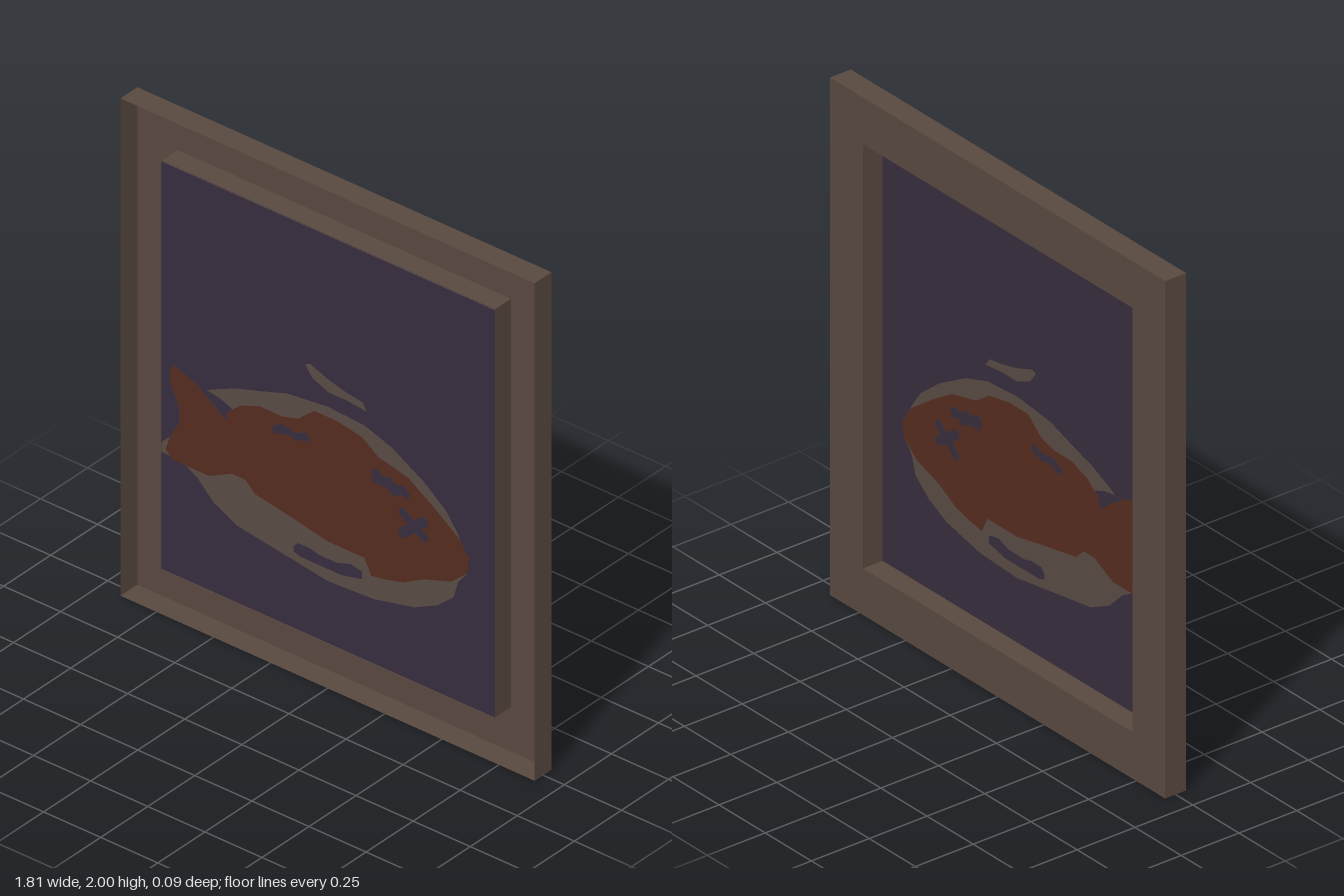
import * as THREE from 'three';

const DEPTH = 0.09, OUTER_W = 1.814, OUTER_H = 2, INNER_W = 1.458, INNER_H = 1.64;

const material = (name, color) => {
  const m = new THREE.MeshStandardMaterial({ color, side: THREE.DoubleSide });
  m.name = name;
  return m;
};

const polygon = (points) => new THREE.Shape(points.map(([x, y]) => new THREE.Vector2(x, y)));

// Rectangle centred on the picture's middle height
const rectangle = (w, h) => polygon([
  [-w / 2, 1 - h / 2], [w / 2, 1 - h / 2], [w / 2, 1 + h / 2], [-w / 2, 1 + h / 2],
]);

// Four walls of a box, open at front and back
function sleeve(w, h) {
  const geo = new THREE.BoxGeometry(w, h, DEPTH);
  geo.setIndex(Array.from(geo.index.array).slice(0, 24));
  geo.clearGroups();
  return geo.translate(0, 1, 0);
}

// Rounded brush stroke between two points
function stroke([x1, y1], [x2, y2], r) {
  const a = Math.atan2(y2 - y1, x2 - x1);
  const s = new THREE.Shape();
  s.absarc(x2, y2, r, a - Math.PI / 2, a + Math.PI / 2);
  s.absarc(x1, y1, r, a + Math.PI / 2, a + Math.PI * 1.5);
  s.closePath();
  return s;
}

export function createModel() {
  const group = new THREE.Group();
  const wood = material('frame brown', 0x58483f);
  const dark = material('dark violet', 0x372d3e);
  const pale = material('outline taupe', 0x584a43);
  const rust = material('fish rust', 0x552c20);

  const add = (name, geo, mat) => {
    const mesh = new THREE.Mesh(geo, mat);
    mesh.name = name;
    group.add(mesh);
  };

  // Frame: flat ring at the back, outer and inner walls, open channel in front
  const ring = rectangle(OUTER_W, OUTER_H);
  ring.holes.push(rectangle(INNER_W, INNER_H));
  add('frameBack', new THREE.ShapeGeometry(ring).translate(0, 0, -DEPTH / 2), wood);
  add('frameOuterWalls', sleeve(OUTER_W, OUTER_H), wood);
  add('frameInnerWalls', sleeve(INNER_W, INNER_H), wood);

  // Painted layers pass through the panel, so they show on both sides
  const layer = (name, shapes, level, mat) => {
    const depth = 0.002 * level;
    const geo = new THREE.ExtrudeGeometry(shapes, { depth, bevelEnabled: false, curveSegments: 6 });
    add(name, geo.translate(0, 0, DEPTH / 2 - 0.004 - depth / 2), mat);
  };

  layer('panel', rectangle(INNER_W, INNER_H), 1, dark);

  // Pale halo around the fish, and the loose stroke above it
  layer('halo', [
    polygon([
      [-0.53, 0.98], [-0.49, 1.0], [-0.4, 1.04], [-0.3, 1.07], [-0.18, 1.11], [0, 1.13], [0.16, 1.12],
      [0.28, 1.08], [0.42, 1.0], [0.52, 0.92], [0.57, 0.85], [0.6, 0.78], [0.61, 0.71], [0.57, 0.66],
      [0.55, 0.59], [0.48, 0.53], [0.38, 0.48], [0.2, 0.44], [0, 0.43], [-0.2, 0.46],
      [-0.4, 0.49], [-0.5, 0.54], [-0.57, 0.61], [-0.64, 0.65], [-0.728, 0.65], [-0.728, 0.69],
      [-0.7, 0.72], [-0.6, 0.74], [-0.4, 0.88], [-0.42, 0.95], [-0.47, 0.97],
    ]),
    polygon([
      [-0.1, 1.26], [-0.08, 1.27], [0, 1.24], [0.08, 1.22], [0.15, 1.21], [0.17, 1.18],
      [0.09, 1.19], [0, 1.19], [-0.07, 1.22],
    ]),
  ], 2, pale);

  // Fish with forked tail, facing right
  layer('fish', polygon([
    [-0.69, 1.0], [-0.67, 1.02], [-0.57, 0.98], [-0.5, 0.93], [-0.45, 0.89], [-0.44, 0.93],
    [-0.38, 0.98], [-0.3, 1.01], [-0.2, 1.01], [-0.13, 1.03], [-0.06, 1.09], [0.04, 1.09],
    [0.15, 1.07], [0.22, 1.02], [0.35, 0.99], [0.46, 0.92], [0.57, 0.84], [0.62, 0.77],
    [0.61, 0.71], [0.54, 0.65], [0.42, 0.61], [0.33, 0.56], [0.25, 0.54], [0.19, 0.53],
    [0.16, 0.59], [0, 0.59], [-0.15, 0.62], [-0.32, 0.65], [-0.36, 0.69], [-0.42, 0.69],
    [-0.52, 0.64], [-0.68, 0.64], [-0.71, 0.67], [-0.69, 0.73], [-0.65, 0.8], [-0.65, 0.86],
    [-0.69, 0.95],
  ]), 3, rust);

  // Dark marks: fin stroke, brow, belly stroke and crossed eye
  layer('finMark', polygon([
    [-0.25, 0.95], [-0.2, 0.98], [-0.14, 0.97], [-0.09, 0.99], [-0.08, 0.96],
    [-0.14, 0.94], [-0.17, 0.95], [-0.23, 0.93],
  ]), 4, dark);
  layer('browMark', polygon([
    [0.19, 0.96], [0.22, 0.97], [0.24, 0.95], [0.27, 0.96], [0.3, 0.94], [0.33, 0.95],
    [0.36, 0.93], [0.35, 0.9], [0.32, 0.91], [0.29, 0.89], [0.26, 0.91], [0.2, 0.91],
  ]), 4, dark);
  layer('bellyMark', polygon([
    [-0.15, 0.51], [-0.13, 0.53], [-0.08, 0.53], [-0.04, 0.52], [0.04, 0.52], [0.1, 0.54],
    [0.15, 0.53], [0.15, 0.5], [0.06, 0.48], [-0.12, 0.48], [-0.15, 0.49],
  ]), 4, dark);
  layer('eyeStrokeA', stroke([0.33, 0.76], [0.42, 0.84], 0.019), 4, dark);
  layer('eyeStrokeB', stroke([0.33, 0.84], [0.42, 0.78], 0.019), 4, dark);

  return group;
}
